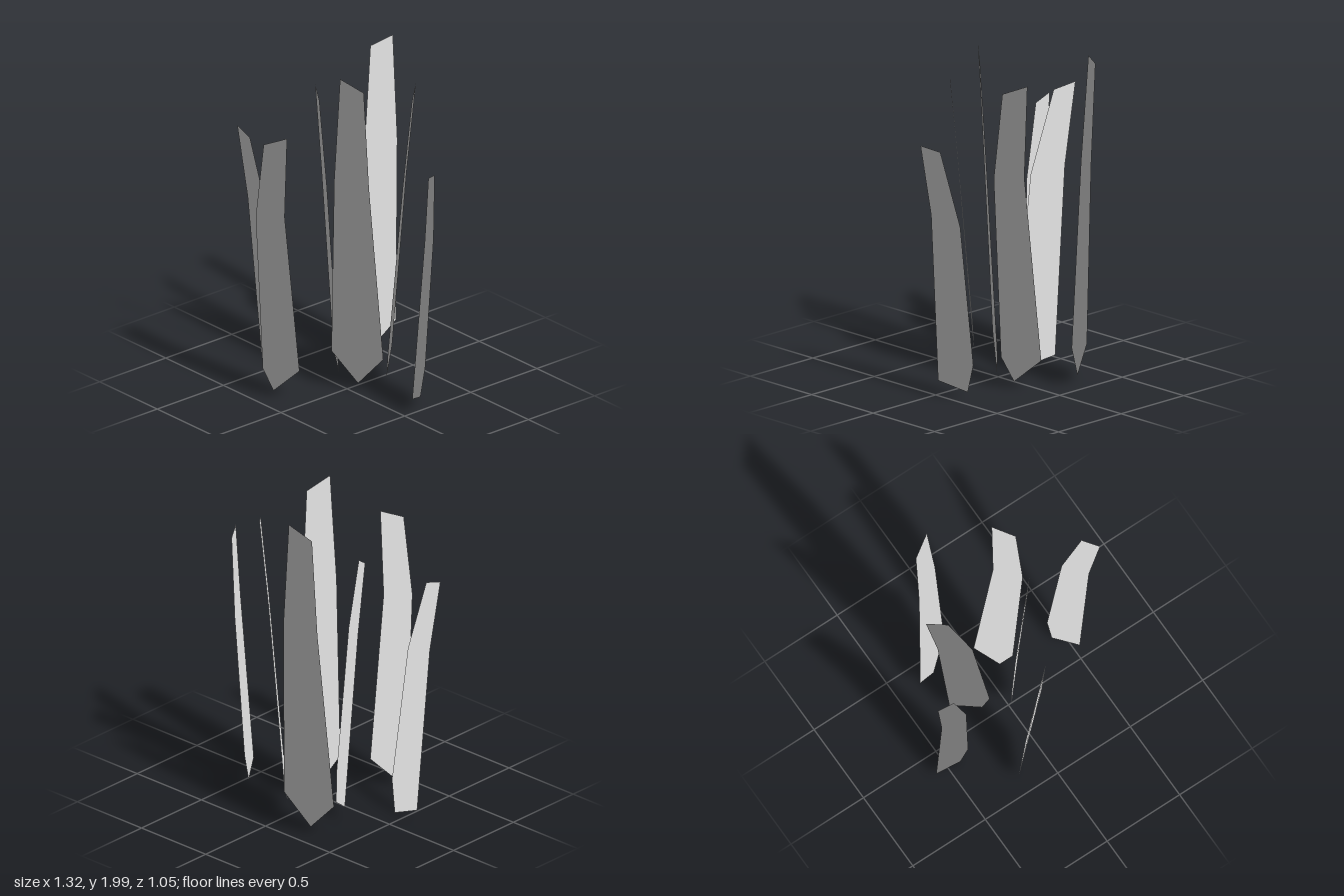
import * as THREE from 'three';

// Outline of each flat blade: two top corners, then down one edge
// (mid, low), the foot, and back up the other edge (low, mid).
const leftBlade = [[-0.66, 1.51, 0.255], [-0.55, 1.47, 0.255], [-0.44, 1.03, 0.22], [-0.38, 0.2, 0.15],
  [-0.42, 0.01, 0.13], [-0.59, 0.08, 0.135], [-0.61, 1.07, 0.22]];
const innerBlade = [[-0.46, 1.71, -0.16], [-0.35, 1.67, -0.095], [-0.22, 1.18, -0.04], [-0.112, 0.23, -0.025],
  [-0.14, 0.05, -0.06], [-0.30, 0.11, -0.158], [-0.39, 1.22, -0.145]];
const tallBackBlade = [[-0.205, 2, -0.525], [-0.325, 1.91, -0.46], [-0.33, 1.3, -0.42], [-0.38, 0.2, -0.335],
  [-0.25, 0.05, -0.39], [-0.12, 0.26, -0.475], [-0.155, 1.37, -0.515]];
const tallCentreBlade = [[0.06, 2, 0.105], [0.145, 1.91, 0], [0.138, 1.3, -0.045], [0.148, 0.2, -0.145],
  [0.05, 0.05, -0.04], [-0.038, 0.26, 0.085], [0.012, 1.35, 0.108]];
const backBlade = [[0.15, 1.86, -0.39], [0.242, 1.81, -0.28], [0.242, 1.29, -0.21], [0.15, 0.2, -0.175],
  [0.09, 0.05, -0.22], [-0.005, 0.18, -0.345], [0.125, 1.3, -0.34]];
const rightBlade = [[0.66, 1.54, -0.04], [0.60, 1.51, -0.14], [0.51, 1.06, -0.21], [0.42, 0.22, -0.225],
  [0.425, 0.05, -0.185], [0.52, 0.11, -0.04], [0.60, 1.12, -0.065]];
const frontBlade = [[-0.033, 1.69, 0.425], [-0.125, 1.65, 0.522], [-0.19, 1.18, 0.525], [-0.227, 0.19, 0.44],
  [-0.19, 0.05, 0.39], [-0.08, 0.18, 0.29], [-0.077, 1.18, 0.405]];

// Strip of faces from the tip down to the foot, with upward foliage normals
function bladeGeometry(outline) {
  const geometry = new THREE.BufferGeometry();
  geometry.setAttribute('position', new THREE.Float32BufferAttribute(outline.flat(), 3));
  geometry.setAttribute('normal', new THREE.Float32BufferAttribute(outline.flatMap(() => [0, 1, 0]), 3));
  geometry.setIndex([0, 2, 1, 0, 6, 2, 6, 3, 2, 6, 5, 3, 5, 4, 3]);
  return geometry;
}

export function createModel() {
  const group = new THREE.Group();
  group.name = 'grassTuft';
  const grey = new THREE.MeshStandardMaterial({ color: 0xcccccc, side: THREE.DoubleSide });
  grey.name = 'lightGrey';

  const blades = { leftBlade, innerBlade, tallBackBlade, tallCentreBlade, backBlade, rightBlade, frontBlade };
  for (const [name, outline] of Object.entries(blades)) {
    const mesh = new THREE.Mesh(bladeGeometry(outline), grey);
    mesh.name = name;
    group.add(mesh);
  }
  return group;
}
